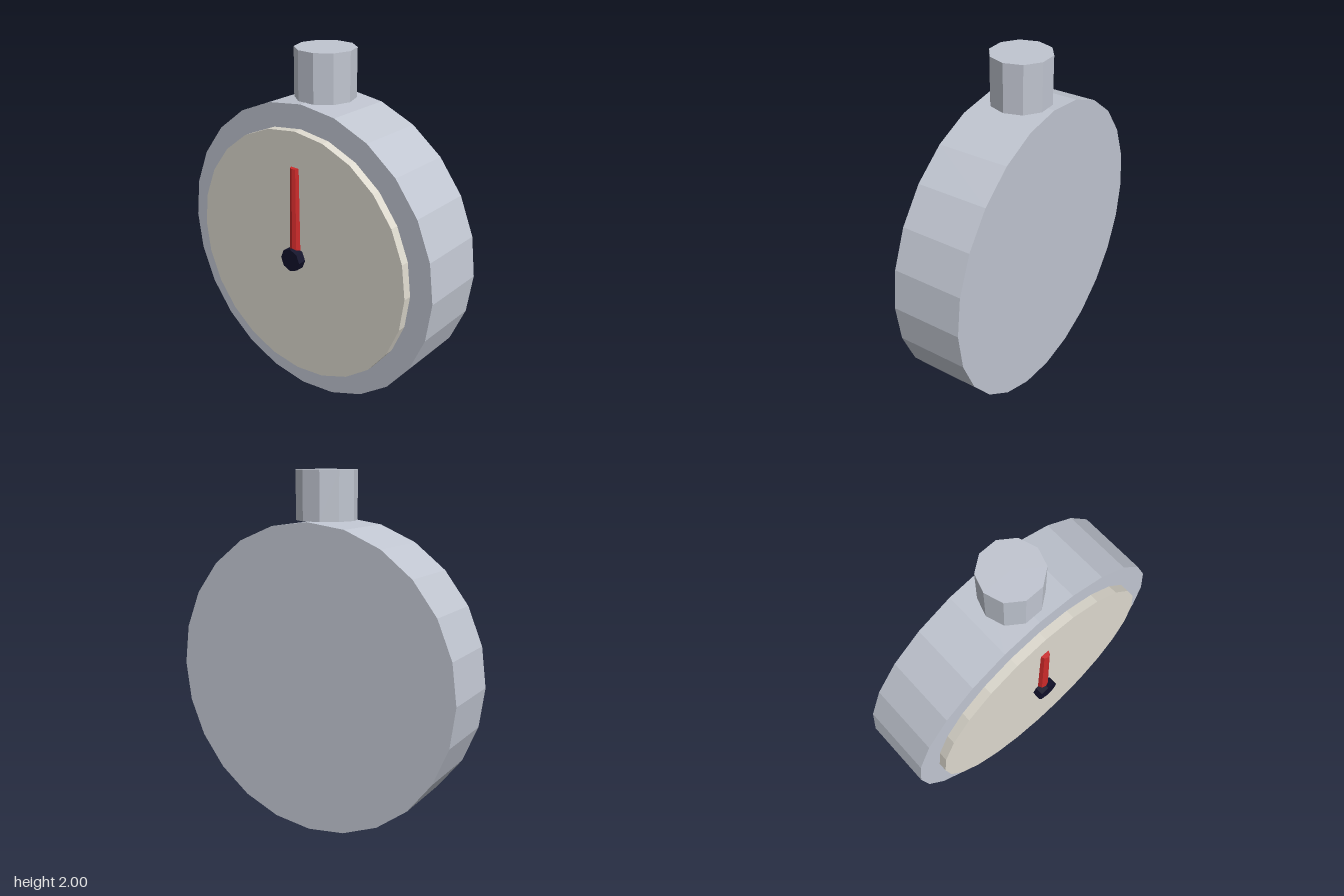
import * as THREE from 'three';

const CENTRE_Y = 0.867;

function material(name, color) {
  const m = new THREE.MeshStandardMaterial({ color, flatShading: true });
  m.name = name;
  return m;
}

export function createModel() {
  const watch = new THREE.Group();
  watch.name = 'stopwatch';

  const silver = material('silver', 0xc0c5d0);
  const cream = material('cream', 0xdcd8cd);
  const red = material('red', 0xcc2a2a);
  const navy = material('navy', 0x10102a);

  const add = (name, geometry, mat) => {
    const mesh = new THREE.Mesh(geometry, mat);
    mesh.name = name;
    watch.add(mesh);
  };

  // Discs lie along z, centred on the dial axis
  const disc = (name, radius, back, front, sides, mat) => {
    const g = new THREE.CylinderGeometry(radius, radius, front - back, sides);
    g.rotateX(Math.PI / 2);
    g.translate(0, CENTRE_Y, (back + front) / 2);
    add(name, g, mat);
  };

  disc('caseBody', 0.867, -0.25, 0.15, 24, silver);
  disc('dialFace', 0.733, 0.15, 0.2, 24, cream);
  disc('centreHub', 0.067, 0.2, 0.25, 8, navy);

  // Winding crown, with corners on the x axis
  const crown = new THREE.CylinderGeometry(0.167, 0.167, 0.267, 10);
  crown.rotateY(Math.PI / 2);
  crown.translate(0, 1.8665, -0.05);
  add('crown', crown, silver);

  // Tapered hand, half sunk into the dial
  const hand = new THREE.CylinderGeometry(0.0267, 0.0333, 0.533, 8);
  hand.translate(0, CENTRE_Y + 0.2665, 0.2);
  add('hand', hand, red);

  return watch;
}
